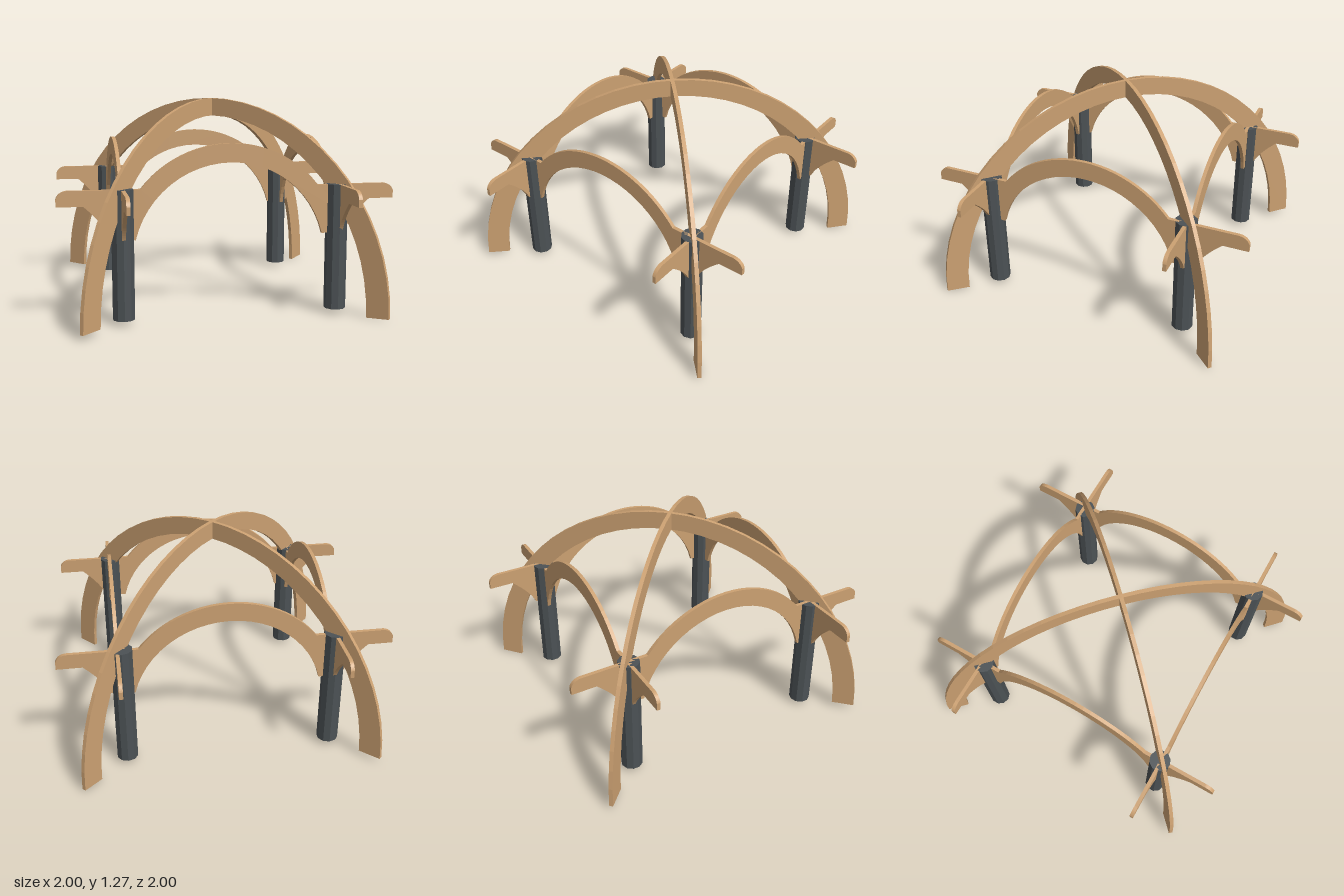
import * as THREE from 'three';

const wood = new THREE.MeshStandardMaterial({ color: 0xcca172 });
wood.name = 'oak wood';
const dark = new THREE.MeshStandardMaterial({ color: 0x4c5255, flatShading: true });
dark.name = 'dark post';

// Cut a flat plank of the given thickness, centred on its own plane
function plank(shape, thickness, name) {
  const geo = new THREE.ExtrudeGeometry(shape, { depth: thickness, bevelEnabled: false, curveSegments: 12 });
  geo.translate(0, 0, -thickness / 2);
  const mesh = new THREE.Mesh(geo, wood);
  mesh.name = name;
  return mesh;
}

// Points on an elliptical arc
function arc(cy, rx, ry, from, to, n) {
  return Array.from({ length: n + 1 }, (_, i) => {
    const a = from + (to - from) * i / n;
    return new THREE.Vector2(rx * Math.cos(a), cy + ry * Math.sin(a));
  });
}

// Side frame: arch between two posts with bracketed beam ends
function frameShape() {
  const outer = Math.asin((0.78 - 0.364) / 0.666);
  const inner = Math.asin((0.49 - 0.353) / 0.567);
  const s = new THREE.Shape();
  s.moveTo(0.55, 0.49);
  s.lineTo(0.69, 0.50);
  s.quadraticCurveTo(0.725, 0.59, 0.84, 0.69);
  s.lineTo(0.99, 0.69);
  s.lineTo(0.99, 0.735);
  s.quadraticCurveTo(0.975, 0.775, 0.93, 0.78);
  arc(0.364, 0.666, 0.666, outer, Math.PI - outer, 24).forEach(p => s.lineTo(p.x, p.y));
  s.lineTo(-0.93, 0.78);
  s.quadraticCurveTo(-0.975, 0.775, -0.99, 0.735);
  s.lineTo(-0.99, 0.69);
  s.lineTo(-0.84, 0.69);
  s.quadraticCurveTo(-0.725, 0.59, -0.69, 0.50);
  s.lineTo(-0.55, 0.49);
  arc(0.353, 0.567, 0.567, Math.PI - inner, inner, 24).slice(1, -1).forEach(p => s.lineTo(p.x, p.y));
  return s;
}

// Tall diagonal arch, one foot slightly lower than the other
function diagonalShape() {
  return new THREE.Shape([
    ...arc(0.02, 1.255, 1.25, -0.008, Math.PI - 0.008, 32),
    ...arc(0.02, 1.115, 1.14, Math.PI - 0.008, -0.0175, 32),
  ]);
}

export function createModel() {
  const group = new THREE.Group();

  // Posts
  const postGeo = new THREE.CylinderGeometry(0.065, 0.065, 0.75, 10);
  for (const [x, z] of [[-0.632, -0.632], [0.622, -0.628], [-0.632, 0.627], [0.635, 0.627]]) {
    const post = new THREE.Mesh(postGeo, dark);
    post.name = 'post';
    post.position.set(x, 0.405, z);
    group.add(post);
  }

  // Four side frames
  const shape = frameShape();
  for (const [name, x, z, turn] of [
    ['frontFrame', -0.01, 0.635, 0],
    ['backFrame', 0.005, -0.637, 0],
    ['rightFrame', -0.631, 0.005, Math.PI / 2],
    ['leftFrame', 0.645, -0.01, Math.PI / 2],
  ]) {
    const frame = plank(shape, 0.022, name);
    frame.position.set(x, 0, z);
    frame.rotation.y = turn;
    group.add(frame);
  }

  // Two crossing diagonal arches
  const tall = diagonalShape();
  for (const [name, x, z, turn] of [
    ['diagonalArchA', 0.005, -0.003, Math.PI / 4],
    ['diagonalArchB', -0.005, -0.013, -Math.PI / 4],
  ]) {
    const arch = plank(tall, 0.024, name);
    arch.position.set(x, 0, z);
    arch.rotation.y = turn;
    group.add(arch);
  }
  return group;
}
